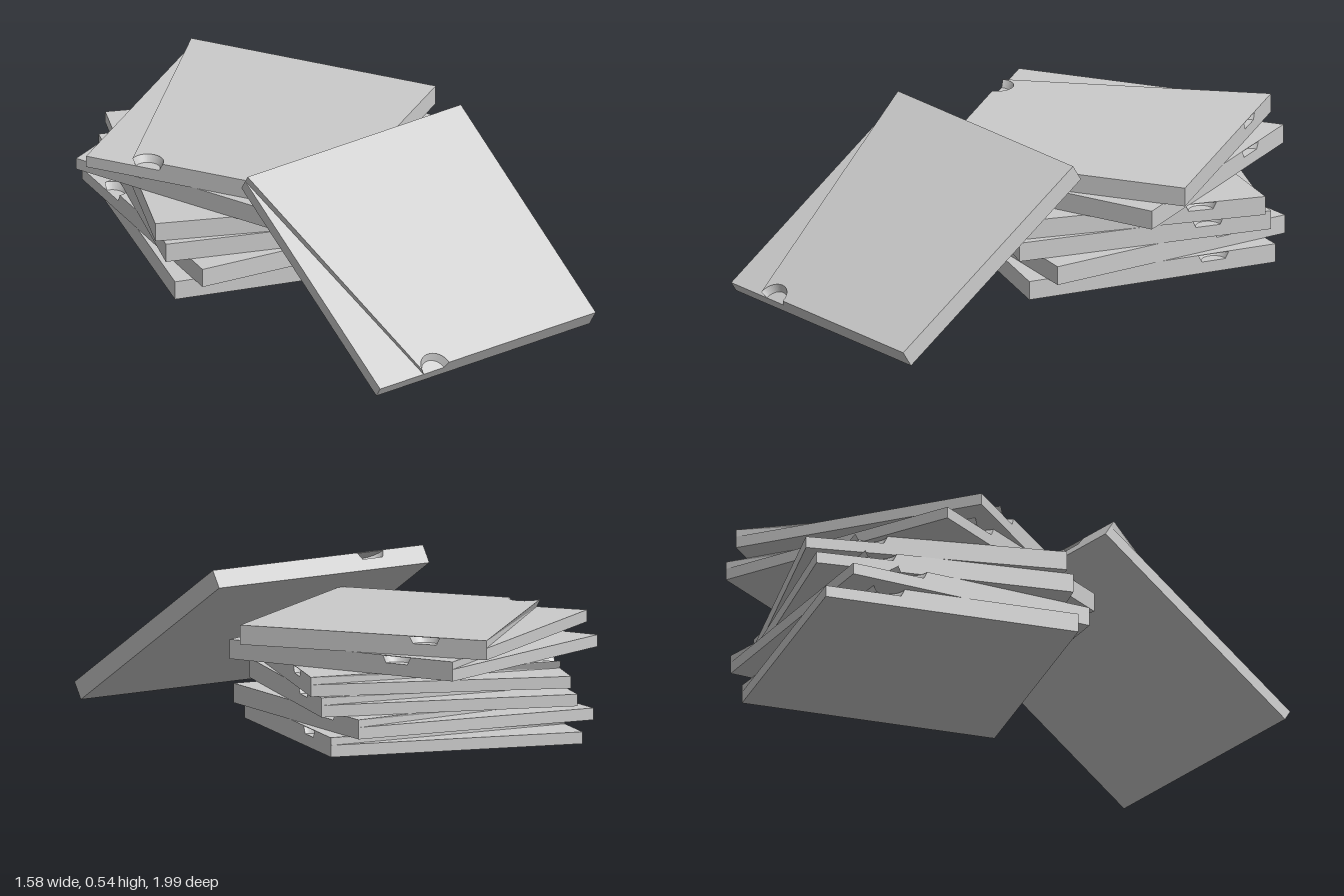
import * as THREE from 'three';
import { mergeGeometries } from 'three/addons/utils/BufferGeometryUtils.js';

const HALF = 0.452;      // half the side of a square slab
const THICK = 0.067;
const BODY = 0.041, RECESS = 0.024, LID = 0.002;  // layers from bottom to top
const NOTCH_X = -0.225, NOTCH_R = 0.055, TAPER = 0.78;

// Square outline with a half-round notch in the front edge and optionally the back
function outline(backNotch) {
  const s = new THREE.Shape();
  s.moveTo(-HALF, -HALF);
  s.absarc(NOTCH_X, -HALF, NOTCH_R, Math.PI, 0, true);
  s.lineTo(HALF, -HALF);
  s.lineTo(HALF, HALF);
  if (backNotch) s.absarc(NOTCH_X, HALF, NOTCH_R, 0, -Math.PI, true);
  s.lineTo(-HALF, HALF);
  s.closePath();
  return s;
}

function layer(shape, depth, y) {
  const g = new THREE.ExtrudeGeometry(shape, { depth, bevelEnabled: false, curveSegments: 14 });
  return g.rotateX(-Math.PI / 2).translate(0, y, 0);
}

function slabGeometry() {
  const bottom = -THICK / 2;
  const body = new THREE.BoxGeometry(HALF * 2, BODY, HALF * 2)
    .translate(0, bottom + BODY / 2, 0).toNonIndexed();
  const middle = layer(outline(true), RECESS, bottom + BODY);
  // Narrow both notches towards their floor
  const p = middle.attributes.position;
  for (let i = 0; i < p.count; i++) {
    const zc = Math.sign(p.getZ(i)) * HALF;
    const dx = p.getX(i) - NOTCH_X, dz = p.getZ(i) - zc;
    if (p.getY(i) < bottom + BODY + 0.001 && Math.hypot(dx, dz) < NOTCH_R * 1.02) {
      p.setX(i, NOTCH_X + dx * TAPER);
      p.setZ(i, zc + dz * TAPER);
    }
  }
  middle.computeVertexNormals();
  // Thin lid, open over the front notch only
  const lid = layer(outline(false), LID, bottom + BODY + RECESS);
  return mergeGeometries([body, middle, lid]);
}

export function createModel() {
  const model = new THREE.Group();
  const material = new THREE.MeshStandardMaterial({ color: 0xcccccc, flatShading: true });
  const geometry = slabGeometry();
  const rad = THREE.MathUtils.degToRad;

  const addSlab = (name, x, y, z, yaw, tilt = 0) => {
    const slab = new THREE.Mesh(geometry, material);
    slab.name = name;
    slab.position.set(x, y, z);
    slab.rotation.set(rad(tilt), rad(yaw), 0, 'YXZ');
    model.add(slab);
  };

  // Untidy stack, bottom to top
  [-84.9, -75.8, -88.1, -91.9, -46.8, -36].forEach((yaw, i) => {
    addSlab(`stackedSlab${i + 1}`, -0.155, 0.0395 + i * 0.0672, -0.365, yaw);
  });

  // Slab leaning against the stack
  addSlab('leaningSlab', 0.21, 0.268, 0.45, 24, 32);
  return model;
}
